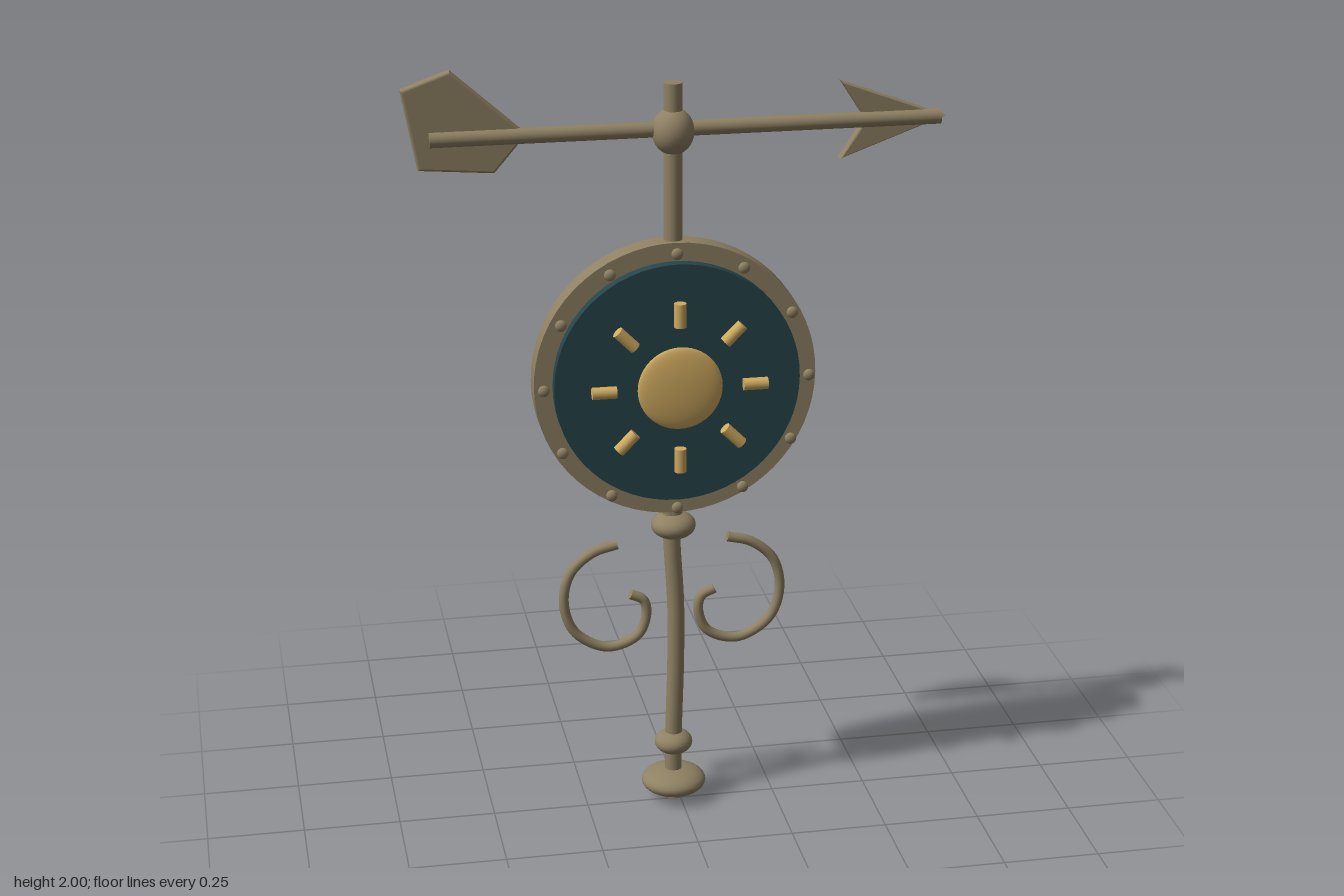
import * as THREE from 'three';

const AXIS_X = -0.016; // the pole axis
const POLE_Z = -0.0155;
const DIAL_Y = 1.193;

const bronze = new THREE.MeshStandardMaterial({ color: 0x8f8163 });
bronze.name = 'bronze';
const gold = new THREE.MeshStandardMaterial({ color: 0xd0aa60 });
gold.name = 'gold';
const teal = new THREE.MeshStandardMaterial({ color: 0x26454b });
teal.name = 'teal';

function add(parent, name, geometry, material, x = 0, y = 0, z = 0) {
  const mesh = new THREE.Mesh(geometry, material);
  mesh.name = name;
  mesh.position.set(x, y, z);
  parent.add(mesh);
  return mesh;
}

// Sphere squashed to the given half sizes
function ellipsoid(rx, ry, rz, segments = 32) {
  return new THREE.SphereGeometry(1, segments, segments / 2).scale(rx, ry, rz);
}

// Disc facing +z between two depths
function disc(radius, back, front) {
  return new THREE.CylinderGeometry(radius, radius, front - back, 64)
    .rotateX(Math.PI / 2)
    .translate(0, 0, (front + back) / 2);
}

// Round bar along a smooth path, with capped ends
function bar(parent, name, points, radius, segments) {
  const curve = new THREE.CatmullRomCurve3(points.map((p) => new THREE.Vector3(...p)));
  const group = new THREE.Group();
  group.name = name;
  add(group, name + 'Bar', new THREE.TubeGeometry(curve, segments, radius, 16), bronze);
  for (const t of [0, 1]) {
    const end = curve.getPointAt(t);
    const outward = curve.getTangentAt(t).multiplyScalar(t ? 1 : -1);
    const cap = add(group, name + 'Cap', new THREE.CircleGeometry(radius, 16), bronze, end.x, end.y, end.z);
    cap.quaternion.setFromUnitVectors(new THREE.Vector3(0, 0, 1), outward);
  }
  parent.add(group);
  return group;
}

// Flat plate with slightly bevelled edges
function plate(points) {
  const bevel = 0.006;
  return new THREE.ExtrudeGeometry(new THREE.Shape(points.map((p) => new THREE.Vector2(...p))), {
    depth: 0.018, bevelEnabled: true, bevelThickness: bevel, bevelSize: bevel, bevelOffset: -bevel, bevelSegments: 3,
  });
}

export function createModel() {
  const model = new THREE.Group();
  model.name = 'weatherVane';

  // Pole: gently bowed lower stem, straight upper part
  bar(model, 'lowerStem', [
    [AXIS_X, 0, POLE_Z], [AXIS_X, 0.18, POLE_Z], [-0.01, 0.4, POLE_Z],
    [-0.01, 0.56, POLE_Z], [-0.02, 0.74, POLE_Z], [-0.022, 0.83, POLE_Z],
  ], 0.0225, 40);
  add(model, 'upperPole', new THREE.CylinderGeometry(0.0235, 0.0235, 1.17, 24), bronze, AXIS_X, 1.365, POLE_Z);

  // Turned collars: height, radius, half height
  const collars = [
    ['base', 0.05, 0.085, 0.036],
    ['lowerCollar', 0.162, 0.05, 0.033],
    ['upperCollar', 0.785, 0.058, 0.036],
    ['pivotBall', 1.828, 0.053, 0.059],
  ];
  for (const [name, y, r, h] of collars) add(model, name, ellipsoid(r, h, r), bronze, AXIS_X, y, POLE_Z);

  // Mirrored scrolls, as offsets from the pole axis
  const scroll = [
    [0.145, 0.734], [0.209, 0.715], [0.267, 0.663], [0.286, 0.578], [0.257, 0.493],
    [0.172, 0.445], [0.093, 0.472], [0.069, 0.53], [0.077, 0.572], [0.111, 0.59],
  ];
  for (const side of [1, -1]) {
    bar(model, side > 0 ? 'leftScroll' : 'rightScroll',
      scroll.map(([x, y]) => [AXIS_X + side * x, y, -0.03]), 0.013, 80);
  }

  // Round shield with teal face, rivets and sun
  const shield = new THREE.Group();
  shield.name = 'shield';
  shield.position.set(AXIS_X, DIAL_Y, 0);
  model.add(shield);
  add(shield, 'backPlate', disc(0.36, -0.038, 0.02), bronze);
  add(shield, 'face', disc(0.313, 0.018, 0.05), teal);
  for (let i = 0; i < 12; i++) {
    const a = (i / 12) * Math.PI * 2;
    add(shield, 'rivet', ellipsoid(0.015, 0.015, 0.01, 16), bronze, 0.338 * Math.cos(a), 0.338 * Math.sin(a), 0.043);
  }
  add(shield, 'sun', ellipsoid(0.108, 0.108, 0.018, 48), gold, 0, 0, 0.083);
  for (let i = 0; i < 8; i++) {
    const a = (i / 8) * Math.PI * 2;
    const ray = add(shield, 'sunRay', new THREE.CylinderGeometry(0.0155, 0.0155, 0.062, 16), gold,
      0.192 * Math.cos(a), 0.192 * Math.sin(a), 0.083);
    ray.rotation.z = a - Math.PI / 2;
  }

  // Wind arrow: shaft, head and tail fin
  const arrow = new THREE.Group();
  arrow.name = 'arrow';
  model.add(arrow);
  add(arrow, 'shaft', new THREE.CylinderGeometry(0.0195, 0.0195, 1.275, 24).rotateZ(Math.PI / 2), bronze, 0.023, 1.833, -0.0195);
  add(arrow, 'arrowHead', plate([[0.674, 1.833], [0.406, 1.932], [0.47, 1.833], [0.406, 1.735]].reverse()), bronze, 0, 0, -0.04);
  add(arrow, 'tailFin', plate([
    [-0.39, 1.82], [-0.39, 1.848], [-0.56, 2.0], [-0.68, 1.957], [-0.643, 1.757], [-0.457, 1.742],
  ]), bronze, 0, 0, -0.04);

  return model;
}
